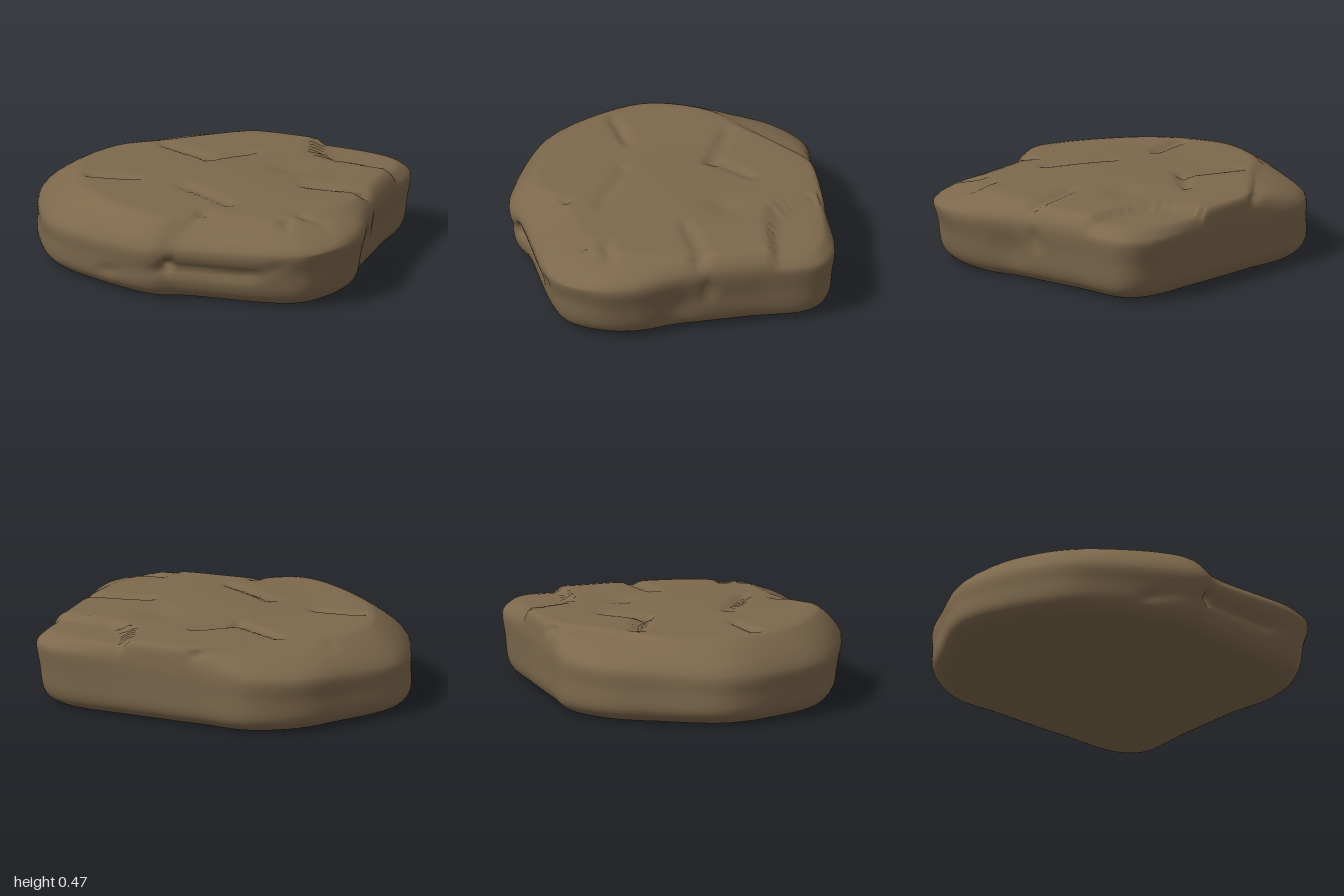
import * as THREE from 'three';

// Stations round the slab: outline x, z, then top rim x, z
const STATIONS = [
  [-1, -0.08, -0.77, -0.04],
  [-0.82, -0.46, -0.64, -0.36],
  [-0.66, -0.7, -0.44, -0.52],
  [-0.4, -0.85, -0.2, -0.72],
  [-0.1, -0.84, -0.07, -0.8],
  [0.35, -0.83, 0.33, -0.81],
  [0.8, -0.8, 0.77, -0.75],
  [0.92, -0.7, 0.87, -0.67],
  [0.93, -0.35, 0.88, -0.35],
  [0.95, 0.05, 0.88, 0.05],
  [1, 0.35, 0.84, 0.3],
  [0.96, 0.57, 0.77, 0.44],
  [0.83, 0.74, 0.67, 0.56],
  [0.1, 0.81, 0.19, 0.62],
  [-0.05, 0.85, -0.02, 0.73],
  [-0.22, 0.81, -0.2, 0.69],
  [-0.7, 0.56, -0.57, 0.43],
  [-0.87, 0.33, -0.71, 0.22],
];

// Chips across the top: start x, z, end x, z
const CHIPS = [
  [-0.08, 0.21, 0.25, 0.4],
  [-0.62, 0.18, -0.38, 0.15],
  [-0.4, -0.42, -0.1, -0.28],
  [-0.1, -0.28, 0.08, -0.45],
  [0.55, -0.02, 0.88, -0.06],
  [0.68, 0.44, 0.82, 0.45],
];

// Cracks down the sides: start x, y, z, end x, y, z
const CRACKS = [
  [0.17, 0.45, 0.58, 0.04, 0.2, 0.82],
  [0.03, 0.19, 0.82, -0.35, 0.11, 0.72],
  [0.06, 0.18, 0.81, 0.52, 0.18, 0.77],
  [0.64, 0.45, 0.55, 0.65, 0.25, 0.75],
  [0.88, 0.45, -0.03, 0.95, 0.22, -0.1],
  [-0.07, 0.42, -0.82, -0.68, 0.39, -0.35],
];

// Broad hollows: centre x, y, z, width
const HOLLOWS = [
  [0.86, 0.3, 0.65, 0.15],
  [0.97, 0.14, 0.08, 0.11],
  [0.38, 0.46, -0.26, 0.1],
];

const COLUMNS = 220, SIDE_RINGS = 30, TOP_RINGS = 20;
const { smoothstep } = THREE.MathUtils;

function topHeight(x, z) {
  return 0.45 + 0.02 * Math.exp(-((x - 0.2) ** 2 + (z - 0.05) ** 2) / 0.12);
}

// Sunken corner plate at the back right of the top
function plateDrop(x, z) {
  if (x < 0.31) return 0;
  const edge = -0.4 - 0.02 / (x - 0.3);
  return 0.035 * smoothstep(edge - z, 0, 0.04);
}

// One vertical strip of the rock, from the underside over the side to the top
function columnPoints(out, rim) {
  const at = (p, s, y) => new THREE.Vector3(p.x * s, y, p.z * s);
  const shoulder = 0.32 + 0.04 * out.x - 0.02 * out.z;
  const lean = -0.04 * Math.max(0, out.z) - 0.03 * out.x;
  const low = 1 + Math.min(0, lean), high = 1 - Math.max(0, lean);
  const profile = new THREE.CatmullRomCurve3([
    at(out, 0.8, 0.003),
    at(out, low * 0.91, 0.005),
    at(out, low * 0.985, 0.06),
    at(out, (low + high) / 2, (0.06 + shoulder) / 2),
    at(out, high, shoulder),
    at(rim, 1, 0.437),
    at(rim, 0.93, topHeight(rim.x, rim.z)),
  ], false, 'centripetal');

  const points = [at(out, 0.4, 0.003), ...profile.getPoints(SIDE_RINGS)];
  for (let i = 1; i < TOP_RINGS; i++) {
    const s = 0.93 * (1 - i / TOP_RINGS);
    points.push(at(rim, s, topHeight(rim.x * s, rim.z * s)));
  }
  for (const p of points) p.y -= plateDrop(p.x, p.z) * smoothstep(p.y, 0.3, 0.43);
  return points;
}

// Push the surface inward along its normal near each crack or hollow
function carve(geometry) {
  const groove = (a, b, width, depth) => ({
    line: new THREE.Line3(new THREE.Vector3(...a), new THREE.Vector3(...b)), width, depth,
  });
  const grooves = [
    ...CHIPS.map(([x1, z1, x2, z2]) => groove([x1, 0.45, z1], [x2, 0.45, z2], 0.035, 0.02)),
    ...CRACKS.map((c) => groove(c.slice(0, 3), c.slice(3), 0.03, 0.028)),
  ];
  const hollows = HOLLOWS.map(([x, y, z, width]) => ({ centre: new THREE.Vector3(x, y, z), width }));
  const falloff = (a, b, width) => Math.exp(-a.distanceToSquared(b) / (width * width));

  const pos = geometry.attributes.position, nor = geometry.attributes.normal;
  const p = new THREE.Vector3(), n = new THREE.Vector3(), near = new THREE.Vector3();
  for (let i = 0; i < pos.count; i++) {
    p.fromBufferAttribute(pos, i);
    n.fromBufferAttribute(nor, i);
    let push = 0;
    for (const { line, width, depth } of grooves) {
      line.closestPointToPoint(p, true, near);
      push += depth * falloff(p, near, width);
    }
    for (const { centre, width } of hollows) push += 0.2 * width * falloff(p, centre, width);
    p.addScaledVector(n, -Math.min(push, 0.06));
    pos.setXYZ(i, p.x, Math.max(0, p.y), p.z);
  }
}

function buildRock() {
  const loop = (k) => new THREE.CatmullRomCurve3(
    STATIONS.map((s) => new THREE.Vector3(s[k], 0, s[k + 1])), true, 'centripetal');
  const outline = loop(0), rim = loop(2);

  const positions = [], index = [];
  let rings = 0;
  for (let j = 0; j < COLUMNS; j++) {
    const t = j / COLUMNS;
    const column = columnPoints(outline.getPoint(t), rim.getPoint(t));
    rings = column.length;
    for (const p of column) positions.push(p.x, p.y, p.z);
  }
  const bottom = COLUMNS * rings, top = bottom + 1;
  positions.push(0, 0.003, 0, 0, topHeight(0, 0), 0);

  // Skin between neighbouring strips, closed at both centres
  for (let j = 0; j < COLUMNS; j++) {
    const a = j * rings, b = ((j + 1) % COLUMNS) * rings;
    for (let i = 0; i < rings - 1; i++) {
      index.push(a + i, a + i + 1, b + i, a + i + 1, b + i + 1, b + i);
    }
    index.push(bottom, a, b, a + rings - 1, top, b + rings - 1);
  }

  const geometry = new THREE.BufferGeometry();
  geometry.setAttribute('position', new THREE.Float32BufferAttribute(positions, 3));
  geometry.setIndex(index);
  geometry.computeVertexNormals();
  carve(geometry);
  geometry.computeVertexNormals();
  return geometry;
}

export function createModel() {
  const stone = new THREE.MeshStandardMaterial({ color: 0x7d684c });
  stone.name = 'brown stone';

  const rock = new THREE.Mesh(buildRock(), stone);
  rock.name = 'flatRock';

  const group = new THREE.Group();
  group.name = 'rockSlab';
  group.add(rock);
  return group;
}
